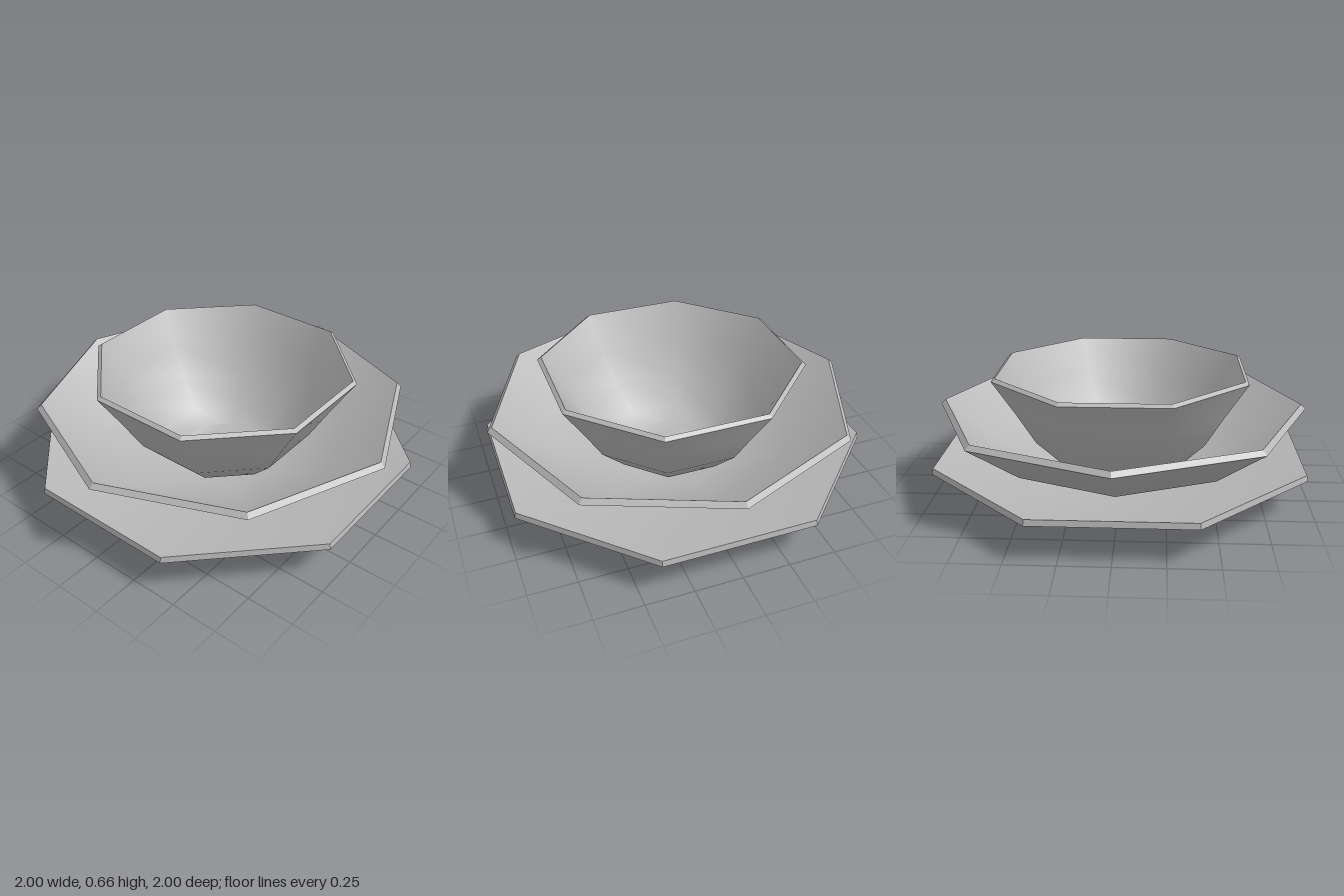
import * as THREE from 'three';

const SIDES = 8;
const APOTHEM = Math.cos(Math.PI / SIDES);

export function createModel() {
  const model = new THREE.Group();
  const ceramic = new THREE.MeshStandardMaterial({ color: 0xb8b8b8, side: THREE.DoubleSide });
  ceramic.name = 'grey ceramic';

  // Eight-sided surface of revolution; [radius, height] profile
  const turn = (name, profile, scale, start, flat) => {
    const points = profile.map(([r, y]) => new THREE.Vector2(r * scale, y));
    let geometry = new THREE.LatheGeometry(points, SIDES, start);
    if (flat) {
      geometry = geometry.toNonIndexed();
      geometry.computeVertexNormals();
    }
    const mesh = new THREE.Mesh(geometry, ceramic);
    mesh.name = name;
    return mesh;
  };

  // One dish: smooth outside and inside, joined by a crisp faceted rim
  const dish = (name, outside, inside, flatsForward) => {
    const scale = flatsForward ? 1 / APOTHEM : 1;
    const start = flatsForward ? Math.PI / SIDES : 0;
    const group = new THREE.Group();
    group.name = name;
    const rim = [outside[outside.length - 1], inside[0]];
    group.add(
      turn(name + 'Outside', outside, scale, start, false),
      turn(name + 'Rim', rim, scale, start, true),
      turn(name + 'Inside', inside, scale, start, false)
    );
    model.add(group);
    return group;
  };

  // Wide shallow plate with a small point beneath
  dish('plate',
    [[0, 0], [0.07, 0.03], [0.31, 0.055], [0.65, 0.1], [0.967, 0.18]],
    [[0.96, 0.21], [0.65, 0.13], [0.3, 0.075], [0, 0.06]], true);

  // Middle bowl, turned by half a side
  dish('middleBowl',
    [[0, 0.06], [0.33, 0.06], [0.7, 0.21], [1, 0.435]],
    [[0.975, 0.46], [0.68, 0.24], [0.33, 0.08], [0, 0.065]], false);

  // Deep top bowl
  const bowl = dish('topBowl',
    [[0, 0.063], [0.17, 0.063], [0.32, 0.14], [0.45, 0.28], [0.55, 0.46], [0.66, 0.645]],
    [[0.64, 0.66], [0.535, 0.475], [0.435, 0.295], [0.31, 0.16], [0.2, 0.07], [0, 0.07]], true);

  // Flat floor of the top bowl: a square with clipped corners
  const a = 0.165, b = 0.12;
  const outline = [[a, -b], [a, b], [b, a], [-b, a], [-a, b], [-a, -b], [-b, -a], [b, -a]];
  const shape = new THREE.Shape(outline.map(([x, y]) => new THREE.Vector2(x, y)));
  const floor = new THREE.Mesh(new THREE.ShapeGeometry(shape).rotateX(-Math.PI / 2), ceramic);
  floor.name = 'topBowlFloor';
  floor.position.y = 0.077;
  bowl.add(floor);

  return model;
}
